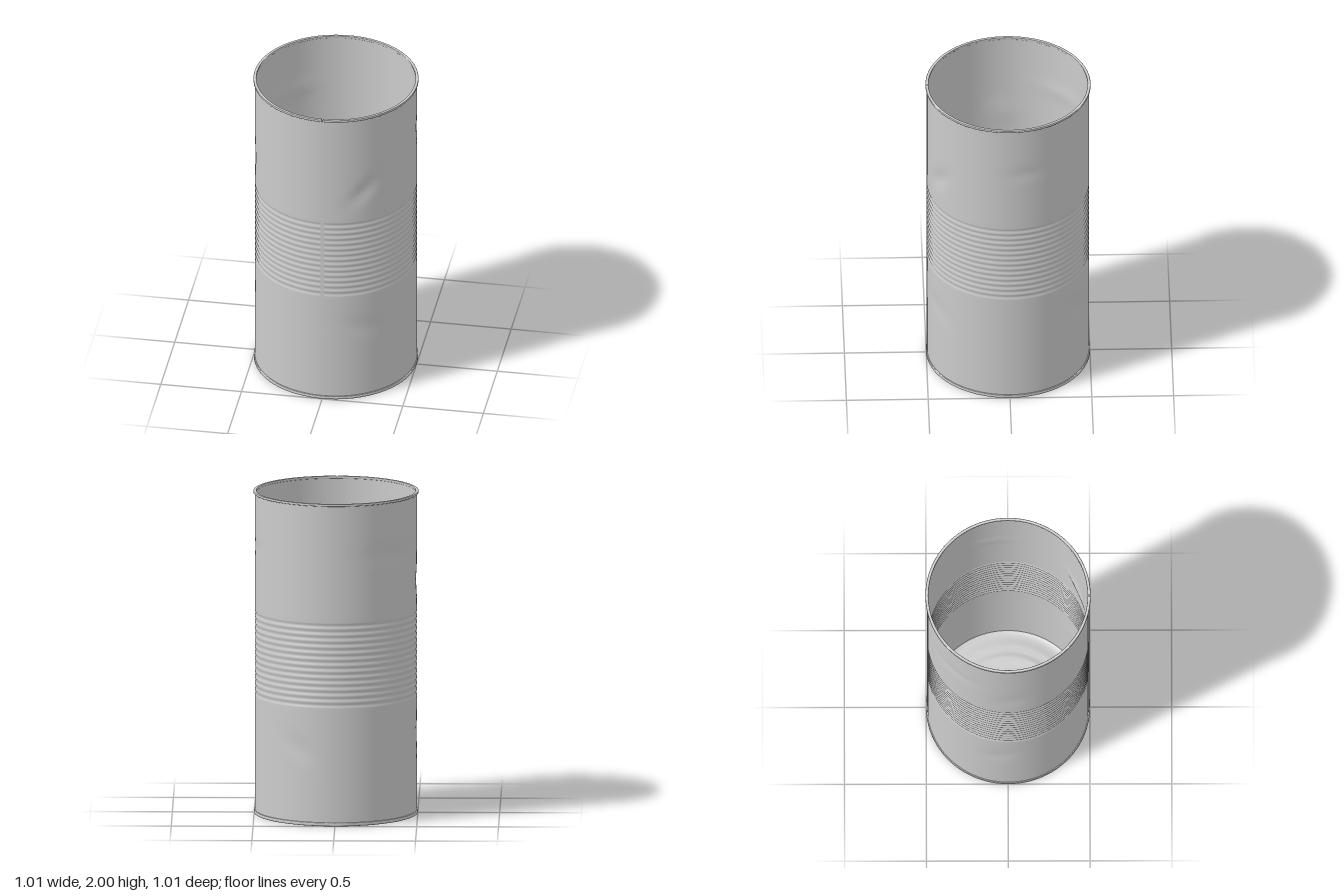
import * as THREE from 'three';

const R = 0.495, WALL = 0.006, SEGMENTS = 112;
const RIB_LOW = 0.73, RIB_HIGH = 1.26, RIBS = 14;
const V = (x, y) => new THREE.Vector2(x, y);

// Shallow dents: angle from the front, height, half length, half width, tilt, depth
const DENTS = [
  [0.53, 1.47, 0.12, 0.04, 0.75, 0.012],
  [0.52, 0.5, 0.13, 0.06, -0.3, 0.005],
  [1.75, 1.66, 0.11, 0.04, 0.1, 0.005],
  [3.95, 1.66, 0.16, 0.05, 0, 0.007],
  [4.75, 1.45, 0.1, 0.08, 0.3, 0.006],
  [4.6, 0.48, 0.1, 0.07, 0.6, 0.006],
  [2.65, 0.48, 0.12, 0.06, -0.6, 0.006],
];

function dentDepth(angle, y) {
  let depth = 0;
  for (const [a, cy, length, width, tilt, amount] of DENTS) {
    const s = (angle - a) * R, t = y - cy;
    const u = (s * Math.cos(tilt) + t * Math.sin(tilt)) / length;
    const v = (t * Math.cos(tilt) - s * Math.sin(tilt)) / width;
    depth += amount * Math.exp(-u * u - v * v);
  }
  return depth;
}

// Radial offset of the ribbed band around the middle
function ribOffset(y) {
  if (y <= RIB_LOW || y >= RIB_HIGH) return 0;
  const t = (y - RIB_LOW) / (RIB_HIGH - RIB_LOW);
  return -0.004 * (1 - Math.cos(t * RIBS * Math.PI * 2)) / 2;
}

function wallGeometry(radius, inward) {
  const heights = [];
  const addRows = (from, to, n) => {
    for (let i = 0; i < n; i++) heights.push(from + (to - from) * i / n);
  };
  addRows(0.012, RIB_LOW, 26);
  addRows(RIB_LOW, RIB_HIGH, RIBS * 8);
  addRows(RIB_HIGH, 1.99, 26);
  heights.push(1.99);
  const points = heights.map(y => V(radius + ribOffset(y), y));
  if (inward) points.reverse();
  const geometry = new THREE.LatheGeometry(points, SEGMENTS);

  // Push the dents in towards the axis
  const pos = geometry.attributes.position;
  for (let i = 0; i < pos.count; i++) {
    const x = pos.getX(i), y = pos.getY(i), z = pos.getZ(i);
    const angle = (Math.atan2(x, z) + Math.PI * 2) % (Math.PI * 2);
    const r = Math.hypot(x, z), k = (r - dentDepth(angle, y)) / r;
    pos.setXYZ(i, x * k, y, z * k);
  }
  geometry.computeVertexNormals();
  return geometry;
}

// Rolled edge with a rounded section, open at the seam by the given angle
function rimGeometry(inner, outer, low, high, gap) {
  const cr = (inner + outer) / 2, cy = (low + high) / 2;
  const points = [];
  for (let i = 0; i <= 16; i++) {
    const a = i / 16 * Math.PI * 2;
    const c = Math.cos(a), s = Math.sin(a);
    points.push(V(
      cr + (outer - inner) / 2 * Math.sign(c) * Math.sqrt(Math.abs(c)),
      cy + (high - low) / 2 * Math.sign(s) * Math.sqrt(Math.abs(s))));
  }
  return new THREE.LatheGeometry(points, SEGMENTS, gap, Math.PI * 2 - gap * 2);
}

// Stepped bottom panel, rising towards a flat centre
function bottomGeometry() {
  const steps = [[0.488, 0.03], [0.48, 0.022], [0.455, 0.02], [0.43, 0.022],
    [0.405, 0.032], [0.385, 0.034], [0.352, 0.034], [0.338, 0.037],
    [0.322, 0.046], [0.308, 0.049], [0.27, 0.047], [0.255, 0.046], [0, 0.046]];
  return new THREE.LatheGeometry(steps.map(([r, y]) => V(r, y)), SEGMENTS);
}

export function createModel() {
  const can = new THREE.Group();
  can.name = 'tinCan';
  const metal = new THREE.MeshStandardMaterial({ color: 0xcccccc, side: THREE.DoubleSide });
  const add = (name, geometry) => {
    const mesh = new THREE.Mesh(geometry, metal);
    mesh.name = name;
    can.add(mesh);
    return mesh;
  };

  add('outerWall', wallGeometry(R, false));
  add('innerWall', wallGeometry(R - WALL, true));
  add('topRim', rimGeometry(0.486, 0.505, 1.984, 2, 0.008));
  add('bottomRim', rimGeometry(0.484, 0.502, 0, 0.022, 0));
  add('bottomPanel', bottomGeometry());

  // Vertical overlap of the sheet at the front
  const seam = add('sideSeam', new THREE.BoxGeometry(0.02, 1.965, 0.01));
  seam.position.set(0, 1.0, R - 0.0025);

  return can;
}
